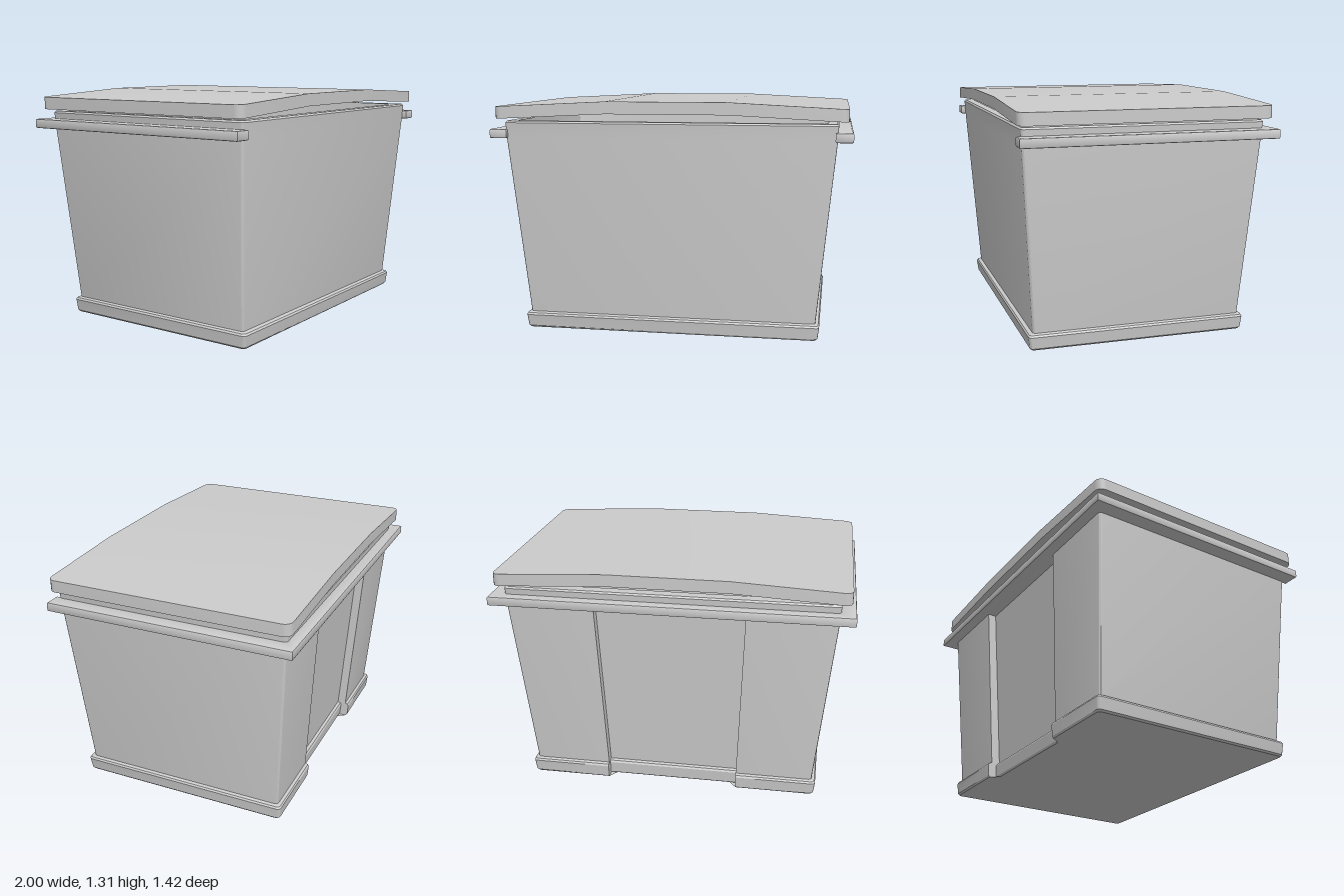
import * as THREE from 'three';
import { toCreasedNormals } from 'three/addons/utils/BufferGeometryUtils.js';

const material = new THREE.MeshStandardMaterial({ color: 0xcccccc, side: THREE.DoubleSide });

// Skin a list of equal-length closed rings, capping both ends with a fan
function loft(rings) {
  const n = rings[0].length;
  const centre = ring => ring.reduce((s, p) => s.add(p), new THREE.Vector3()).divideScalar(n);
  const pos = [];
  const tri = (...pts) => pts.forEach(p => pos.push(p.x, p.y, p.z));
  const first = rings[0], last = rings[rings.length - 1];
  const c0 = centre(first), c1 = centre(last);
  for (let i = 0; i < n; i++) {
    const j = (i + 1) % n;
    tri(c0, first[j], first[i]);
    for (let k = 0; k + 1 < rings.length; k++) {
      const a = rings[k], b = rings[k + 1];
      tri(a[i], a[j], b[j]);
      tri(a[i], b[j], b[i]);
    }
    tri(c1, last[i], last[j]);
  }
  const geo = new THREE.BufferGeometry();
  geo.setAttribute('position', new THREE.Float32BufferAttribute(pos, 3));
  return toCreasedNormals(geo, 0.5);
}

// Horizontal outline of the tub: rounded rectangle with a shallow notch in the back
function outline(y, hx, front, back, notch, depth) {
  const r = 0.02, pts = [];
  const corner = (sx, z, sz, start) => {
    for (let i = 0; i <= 3; i++) {
      const t = start + (i / 3) * Math.PI / 2;
      pts.push(new THREE.Vector3(sx * (hx - r) + r * Math.cos(t), y, z - sz * r - r * Math.sin(t)));
    }
  };
  corner(1, front, 1, -Math.PI / 2);
  corner(1, back, -1, 0);
  for (const [x, d] of [[notch, 0], [notch, depth], [-notch, depth], [-notch, 0]]) {
    pts.push(new THREE.Vector3(x, y, back + d));
  }
  corner(-1, back, -1, Math.PI / 2);
  corner(-1, front, 1, Math.PI);
  return pts;
}

function add(group, name, geometry) {
  const mesh = new THREE.Mesh(geometry, material);
  mesh.name = name;
  group.add(mesh);
}

export function createModel() {
  const model = new THREE.Group();
  model.name = 'storageBin';

  // Tub: plinth, tapered walls, rim, then down the inside to the floor
  const sections = [
    // y, half width, front z, back z, notch half width, notch depth
    [0, 0.825, 0.622, -0.588, 0.38, 0.05],
    [0.01, 0.834, 0.63, -0.596, 0.38, 0.05],
    [0.075, 0.842, 0.638, -0.602, 0.38, 0.05],
    [0.086, 0.836, 0.632, -0.596, 0.38, 0.05],
    [0.092, 0.82, 0.612, -0.58, 0.38, 0.05],
    [1.105, 0.917, 0.677, -0.646, 0.42, 0.05],
    [1.106, 0.917, 0.677, -0.646, 0.42, 0],
    [1.19, 0.922, 0.682, -0.652, 0.42, 0],
    [1.2, 0.915, 0.675, -0.645, 0.42, 0],
    [1.2, 0.865, 0.625, -0.585, 0.42, 0],
    [0.06, 0.76, 0.555, -0.515, 0.38, 0],
  ];
  add(model, 'tub', loft(sections.map(s => outline(...s))));

  // Flange: U-shaped lip along both sides and the back
  const shape = new THREE.Shape([
    [-1, 0.705], [-1, -0.71], [1, -0.71], [1, 0.705],
    [0.905, 0.705], [0.905, -0.64], [-0.905, -0.64], [-0.905, 0.705],
  ].map(p => new THREE.Vector2(...p)));
  const bevel = 0.008;
  const flange = new THREE.ExtrudeGeometry(shape, {
    depth: 0.052 - 2 * bevel, bevelSize: bevel, bevelThickness: bevel,
    bevelOffset: -bevel, bevelSegments: 2,
  });
  flange.rotateX(Math.PI / 2);
  flange.translate(0, 1.156 - bevel, 0);
  add(model, 'flange', toCreasedNormals(flange, 0.6));

  // Lid: slab bent down toward both sides, with rounded corners, hovering over the rim
  const half = 0.975, r = 0.045, front = 0.707, back = -0.686;
  const stations = [];
  for (let i = 0; i <= 5; i++) {
    const t = (i / 5) * Math.PI / 2;
    stations.push([half - r + r * Math.cos(t), r * (1 - Math.sin(t))]);
  }
  stations.push([0.34, 0]);
  const bent = x => 0.032 * Math.max(0, (x - 0.34) / (half - 0.34));
  const all = [
    ...stations.map(([x, inset]) => [-x, inset]),
    ...stations.slice().reverse(),
  ];
  add(model, 'lid', loft(all.map(([x, inset]) => {
    const top = 1.312 - bent(Math.abs(x)), bottom = top - 0.068;
    return [[bottom, back + inset], [top, back + inset], [top, front - inset], [bottom, front - inset]]
      .map(([y, z]) => new THREE.Vector3(x, y, z));
  })));

  return model;
}
